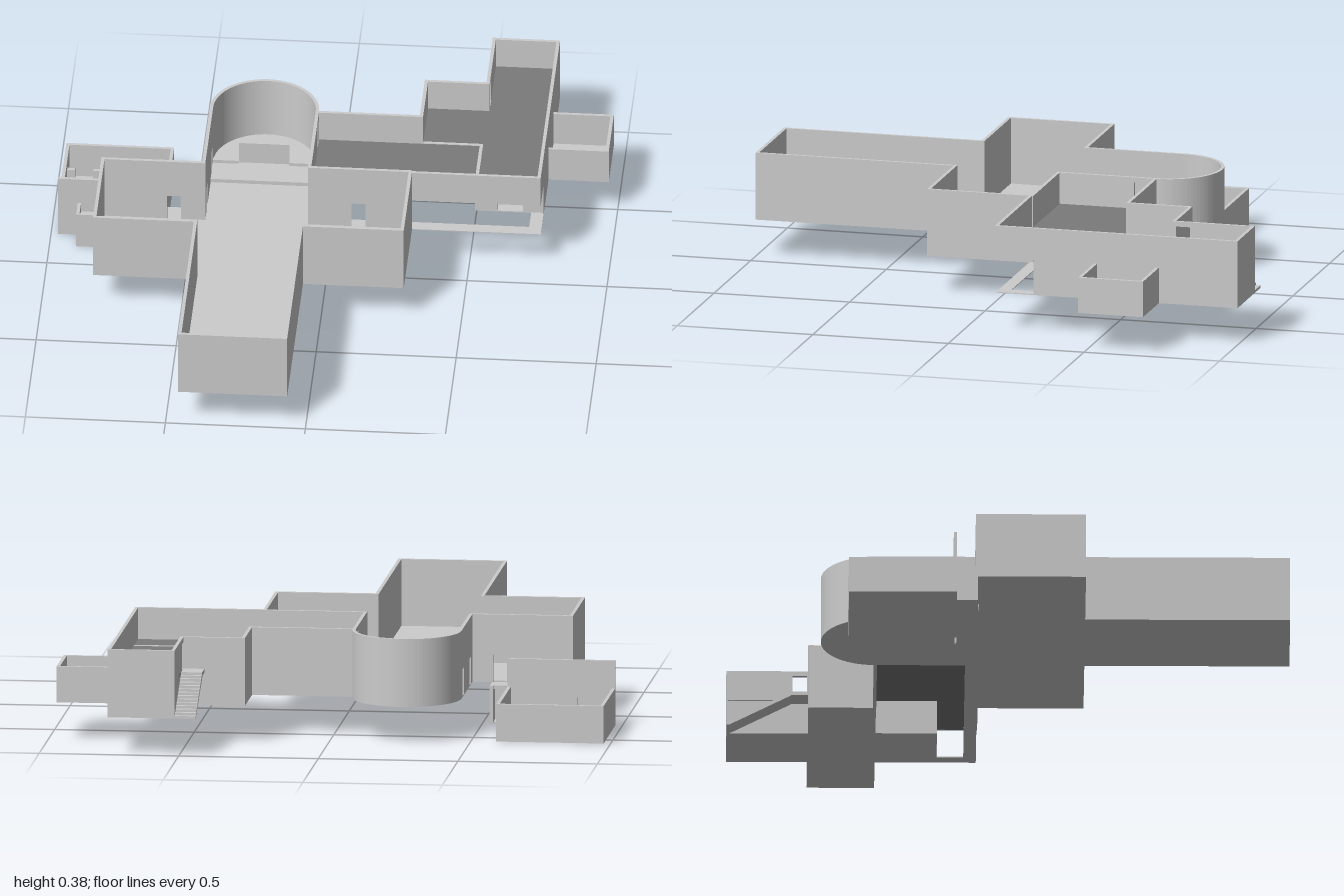
import * as THREE from 'three';

const T = 0.012, H = T / 2; // wall thickness and its half
const GROUND = 0.135, UPPER = 0.262, TOP = 0.38, DOOR = 0.1;

export function createModel() {
  const root = new THREE.Group();
  const grey = new THREE.MeshStandardMaterial({ color: 0xcccccc, side: THREE.DoubleSide });
  const dark = new THREE.MeshStandardMaterial({ color: 0x7a7a7a, side: THREE.DoubleSide });

  const add = (geo, name, parent = root, mat = grey) => {
    const mesh = new THREE.Mesh(geo, mat);
    mesh.name = name;
    parent.add(mesh);
    return mesh;
  };
  const group = (name) => {
    const g = new THREE.Group();
    g.name = name;
    root.add(g);
    return g;
  };

  // Flat slab from a plan shape drawn in (x, -z)
  const slab = (shape, y, depth, name, parent, mat) => {
    const geo = new THREE.ExtrudeGeometry(shape, { depth, bevelEnabled: false, curveSegments: 24 });
    geo.rotateX(-Math.PI / 2);
    geo.translate(0, y, 0);
    return add(geo, name, parent, mat);
  };
  const plan = (pts) => new THREE.Shape(pts.map(([x, z]) => new THREE.Vector2(x, -z)));

  // Straight wall on a centre line; doors are [start, end, bottom, top] along it
  const wall = (parent, name, [ax, az], [bx, bz], y0, y1, doors = []) => {
    const len = Math.hypot(bx - ax, bz - az);
    const s = new THREE.Shape();
    s.moveTo(-H, y0);
    const holes = [];
    for (const d of doors) {
      if (d[2] <= y0) s.lineTo(d[0], y0).lineTo(d[0], d[3]).lineTo(d[1], d[3]).lineTo(d[1], y0);
      else holes.push(d);
    }
    s.lineTo(len + H, y0).lineTo(len + H, y1).lineTo(-H, y1).closePath();
    for (const [p, q, b, t] of holes) {
      s.holes.push(new THREE.Path().moveTo(p, b).lineTo(p, t).lineTo(q, t).lineTo(q, b).closePath());
    }
    const geo = new THREE.ExtrudeGeometry(s, { depth: T, bevelEnabled: false });
    geo.translate(0, 0, -H);
    geo.rotateY(-Math.atan2(bz - az, bx - ax));
    geo.translate(ax, 0, az);
    add(geo, name, parent);
  };
  // Chain of walls through points; doors keyed by segment number
  const walls = (parent, name, pts, y0, y1, doors = {}) => {
    for (let i = 0; i < pts.length - 1; i++) wall(parent, name, pts[i], pts[i + 1], y0, y1, doors[i]);
  };

  // Folded flight of treads and risers, rising along +x from the origin
  const stairs = (parent, name, run, rise, width, count) => {
    const pts = [new THREE.Vector2(0, 0)];
    for (let i = 0; i < count; i++) {
      pts.push(new THREE.Vector2(run * i / count, rise * (i + 1) / count));
      pts.push(new THREE.Vector2(run * (i + 1) / count, rise * (i + 1) / count));
    }
    pts.push(new THREE.Vector2(run, rise - 0.016), new THREE.Vector2(0.01, 0));
    const geo = new THREE.ExtrudeGeometry(new THREE.Shape(pts), { depth: width, bevelEnabled: false });
    return add(geo, name, parent);
  };
  const box = (parent, name, x0, x1, y0, y1, z0, z1) =>
    add(new THREE.BoxGeometry(x1 - x0, y1 - y0, z1 - z0), name, parent)
      .position.set((x0 + x1) / 2, (y0 + y1) / 2, (z0 + z1) / 2);

  // Cross-shaped hall with a round apse
  const hall = group('crossHall');
  const floor = plan([[-0.455, 1], [-0.065, 1], [-0.065, 0.27], [0.295, 0.27], [0.295, -0.11],
    [-0.065, -0.11], [-0.065, -0.475]]);
  floor.absarc(-0.26, 0.475, 0.195, 0, Math.PI, false);
  for (const [x, z] of [[-0.455, -0.11], [-0.815, -0.11], [-0.815, 0.27], [-0.455, 0.27]]) floor.lineTo(x, -z);
  slab(floor, GROUND, 0.004, 'hallFloor', hall);
  const L = -0.449, R = -0.071, D = GROUND + DOOR;
  walls(hall, 'hallWall', [[L, -0.475], [L, -0.116], [-0.809, -0.116], [-0.809, 0.264], [L, 0.264],
    [L, 0.994], [R, 0.994], [R, 0.264], [0.289, 0.264], [0.289, -0.116], [R, -0.116], [R, -0.475]],
  GROUND, TOP, {
    0: [[0.03, 0.08, GROUND, D], [0.26, 0.31, GROUND, D]],
    1: [[0.08, 0.13, GROUND, D]],
    9: [[0.16, 0.21, GROUND, D]],
    10: [[0.28, 0.33, UPPER + 0.006, UPPER + DOOR]],
  });
  const arc = new THREE.Shape();
  arc.absarc(-0.26, 0.475, 0.195, 0, Math.PI, false);
  arc.absarc(-0.26, 0.475, 0.195 - T, Math.PI, 0, true);
  slab(arc, GROUND, TOP - GROUND, 'apseWall', hall);

  // Raised choir floor and altar screen
  const choir = plan([[-0.445, -0.355], [-0.075, -0.355], [-0.075, -0.475]]);
  choir.absarc(-0.26, 0.475, 0.185, 0, Math.PI, false);
  slab(choir, GROUND + 0.004, 0.014, 'choirFloor', hall);
  box(hall, 'altarScreen', -0.35, -0.17, GROUND + 0.01, D, -0.48, -0.47);
  for (const [a, b] of [[-0.445, -0.35], [-0.17, -0.075]]) {
    box(hall, 'choirStep', a, b, GROUND + 0.01, GROUND + 0.03, -0.475, -0.46);
  }

  // Upper terrace
  const terrace = group('terrace');
  slab(plan([[-0.065, -0.115], [0.75, -0.115], [0.75, -0.995], [0.515, -0.995], [0.515, -0.705],
    [0.3, -0.705], [0.3, -0.475], [-0.065, -0.475]]), UPPER, 0.004, 'terraceFloor', terrace, dark);
  walls(terrace, 'terraceWall', [[R, -0.474], [0.301, -0.474]], GROUND, TOP);
  walls(terrace, 'terraceWall', [[0.301, -0.474], [0.301, -0.704], [0.521, -0.704], [0.521, -0.994],
    [0.749, -0.994], [0.749, -0.254]], GROUND, TOP, { 2: [[0.008, 0.06, UPPER + 0.006, UPPER + DOOR]] });
  walls(terrace, 'terraceParapet', [[0.749, -0.254], [0.749, -0.111], [0.295, -0.111]], UPPER, TOP);

  // Rooms below the terrace, with a narrow court edge in front
  const rooms = group('lowerRooms');
  slab(plan([[0.515, -0.25], [0.755, -0.25], [0.755, -1], [0.515, -1], [0.515, -0.71],
    [0.295, -0.71], [0.295, -0.47], [0.515, -0.47]]), GROUND, 0.004, 'roomFloor', rooms);
  walls(rooms, 'roomWall', [[0.301, -0.475], [0.515, -0.475], [0.515, -0.256], [0.749, -0.256]],
    GROUND, UPPER + 0.006, { 2: [[0.075, 0.165, GROUND, D]] });
  slab(plan([[-0.065, -0.11], [0.755, -0.11], [0.755, -0.255], [0.71, -0.255], [0.71, -0.155],
    [-0.065, -0.155]]), GROUND, 0.003, 'courtEdge', rooms);

  // Side annex, open on top
  const annex = group('annex');
  box(annex, 'annexFloor', 0.755, 0.97, GROUND, GROUND + 0.004, -0.71, -0.47);
  walls(annex, 'annexWall', [[0.755, -0.476], [0.964, -0.476], [0.964, -0.704], [0.755, -0.704]], GROUND, 0.265);

  // Outdoor stair up to the terrace
  const backStair = group('backStair');
  const flight = stairs(backStair, 'backFlight', 0.23, UPPER + 0.004 - GROUND, 0.075, 14);
  flight.rotation.y = -Math.PI / 2;
  flight.position.set(0.515, GROUND, -1);
  box(backStair, 'backLanding', 0.44, 0.515, UPPER - 0.01, UPPER + 0.004, -0.77, -0.71);

  // Sunken chamber with a taller front wall and a partition
  const crypt = group('sunkenChamber');
  box(crypt, 'chamberFloor', -0.975, -0.59, 0, 0.004, -0.575, -0.19);
  walls(crypt, 'chamberWall', [[-0.969, -0.196], [-0.969, -0.569], [-0.596, -0.569], [-0.596, -0.196]], 0, GROUND);
  wall(crypt, 'chamberFrontWall', [-0.969, -0.196], [-0.596, -0.196], 0, 0.235, [[0.075, 0.13, 0, DOOR]]);
  for (const [a, b] of [[-0.965, -0.935], [-0.87, -0.69], [-0.63, -0.6]]) {
    box(crypt, 'partition', a, b, 0, DOOR, -0.468, -0.454);
  }

  // Stairwell from the chamber up to the hall
  const well = group('stairwell');
  box(well, 'wellFloor', -0.905, -0.525, 0, 0.003, -0.19, -0.115);
  walls(well, 'wellWall', [[-0.899, -0.19], [-0.899, -0.121], [-0.531, -0.121], [-0.531, -0.19]], 0, GROUND);
  stairs(well, 'wellFlight', 0.26, GROUND, 0.066, 12).position.set(-0.83, 0, -0.19);
  box(well, 'wellLanding', -0.57, -0.525, GROUND - 0.012, GROUND, -0.19, -0.115);

  return root;
}
